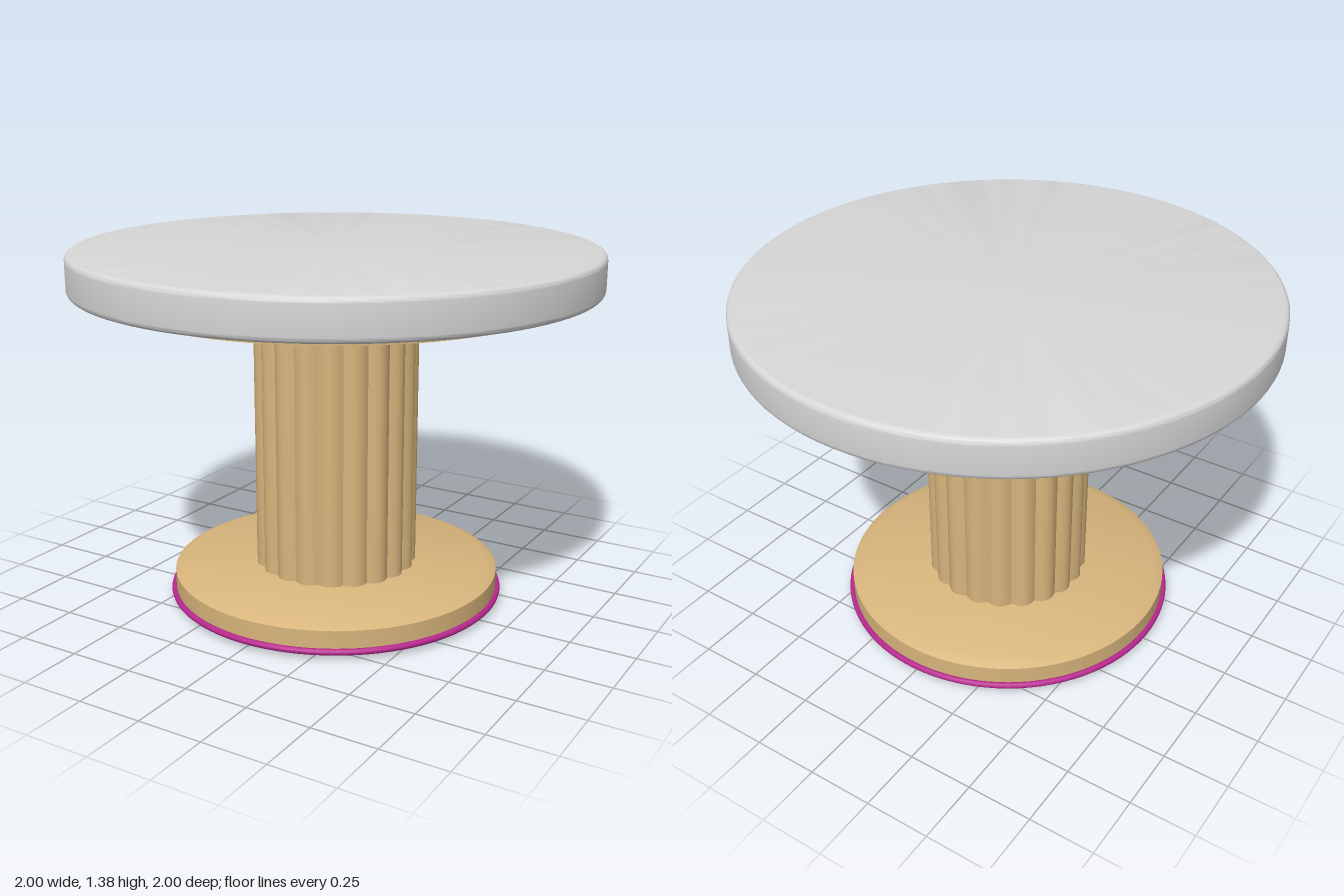
import * as THREE from 'three';
import { toCreasedNormals } from 'three/addons/utils/BufferGeometryUtils.js';

const CREASE = 0.55;

export function createModel() {
  const model = new THREE.Group();
  model.name = 'pedestalTable';

  const stone = new THREE.MeshStandardMaterial({ color: 0xd6d6d6 });
  stone.name = 'pale grey top';
  const wood = new THREE.MeshStandardMaterial({ color: 0xd8b57c });
  wood.name = 'light wood';
  const magenta = new THREE.MeshStandardMaterial({ color: 0xb8288f });
  magenta.name = 'magenta trim';

  const add = (name, geometry, material, y = 0) => {
    const mesh = new THREE.Mesh(geometry, material);
    mesh.name = name;
    mesh.position.y = y;
    model.add(mesh);
    return mesh;
  };

  // Turned part from [radius, height] pairs, bottom to top
  const turned = (profile) => toCreasedNormals(
    new THREE.LatheGeometry(profile.map(([r, y]) => new THREE.Vector2(r, y)), 96), CREASE);

  // Table top with rounded rims
  const round = 0.022, bottom = 1.23, top = 1.38, steps = 6;
  const rim = [[0, bottom]];
  for (const [cy, start] of [[bottom + round, -Math.PI / 2], [top - round, 0]]) {
    for (let i = 0; i <= steps; i++) {
      const a = start + (i / steps) * Math.PI / 2;
      rim.push([1 - round + round * Math.cos(a), cy + round * Math.sin(a)]);
    }
  }
  rim.push([0, top]);
  add('tableTop', turned(rim), stone);

  // Support disc under the top
  add('supportDisc', turned([[0, 1.195], [0.857, 1.195], [0.857, 1.232], [0, 1.232]]), wood);

  // Column with twenty convex flutes
  const lobes = 20, perLobe = 8, outline = [];
  for (let i = 0; i < lobes * perLobe; i++) {
    const a = (i / (lobes * perLobe)) * Math.PI * 2;
    const r = 0.299 + 0.019 * Math.abs(Math.sin(a * lobes / 2));
    outline.push(new THREE.Vector2(r * Math.cos(a), r * Math.sin(a)));
  }
  const column = new THREE.ExtrudeGeometry(new THREE.Shape(outline),
    { depth: 1.08, bevelEnabled: false, steps: 1 });
  column.rotateX(-Math.PI / 2);
  add('flutedColumn', toCreasedNormals(column, CREASE), wood, 0.12);

  // Foot with bevelled edges
  add('foot', turned([[0, 0], [0.615, 0], [0.64, 0.02], [0.64, 0.107], [0.592, 0.13], [0, 0.13]]), wood);

  // Thin ring around the foot
  const ring = new THREE.TorusGeometry(0.646, 0.012, 12, 96);
  ring.rotateX(Math.PI / 2);
  add('footTrim', ring, magenta, 0.028);

  return model;
}
